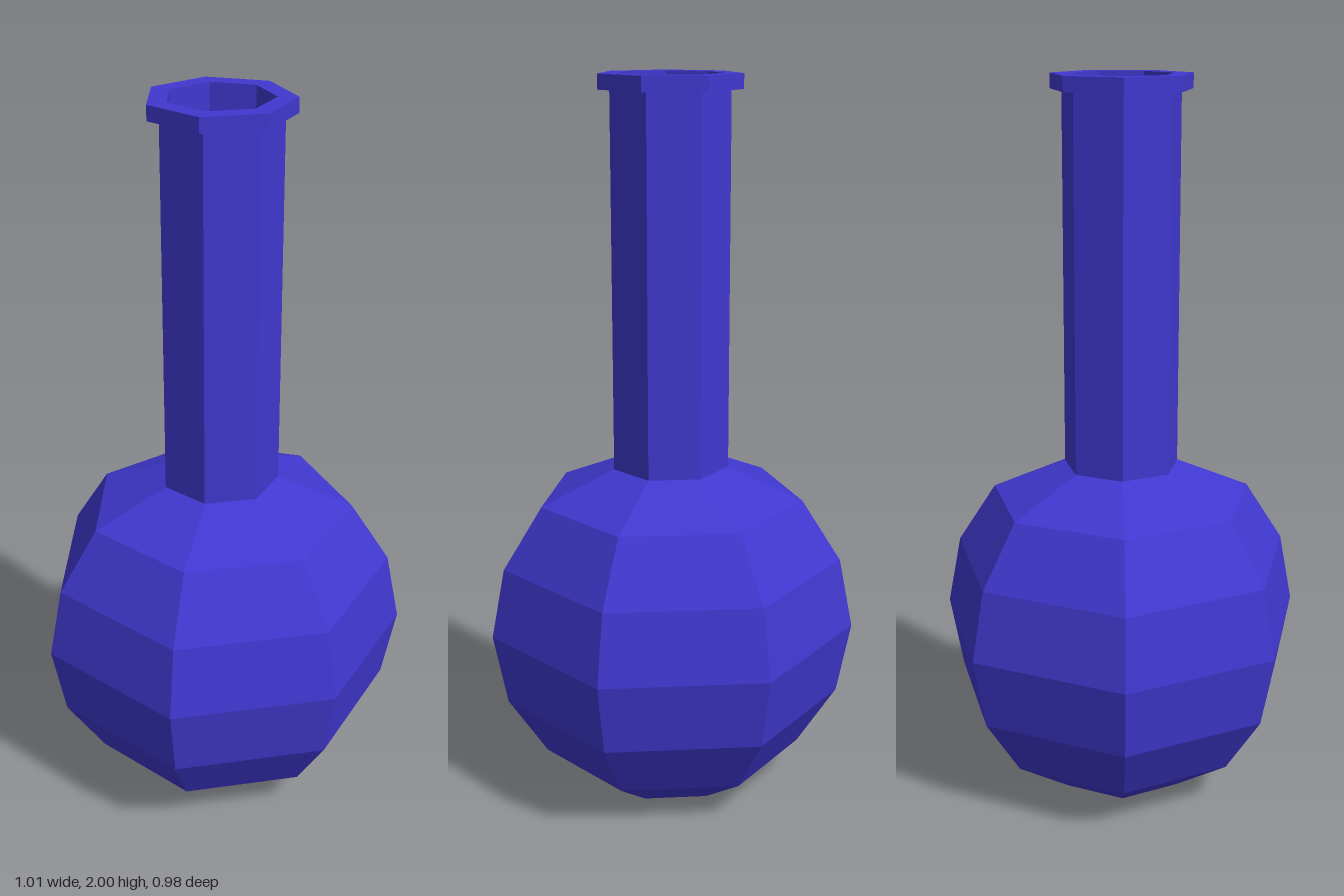
import * as THREE from 'three';

const SIDES = 7;
const AXIS_Z = 0.026; // recentres the odd-sided outline in depth

export function createModel() {
  const flask = new THREE.Group();
  flask.name = 'flask';
  const glass = new THREE.MeshStandardMaterial({ color: 0x4038d0, flatShading: true });

  // Turns a [radius, height] profile into a faceted part with a corner at the back
  function addTurned(name, profile) {
    const points = profile.map(([r, y]) => new THREE.Vector2(r, y));
    const mesh = new THREE.Mesh(new THREE.LatheGeometry(points, SIDES, Math.PI), glass);
    mesh.name = name;
    mesh.position.z = AXIS_Z;
    flask.add(mesh);
  }

  // Round bulb with a flat base
  addTurned('bulb', [
    [0, 0], [0.2, 0], [0.37, 0.115], [0.479, 0.285], [0.517, 0.485],
    [0.479, 0.68], [0.37, 0.85], [0.162, 0.94],
  ]);

  // Straight neck
  addTurned('neck', [[0.162, 0.94], [0.162, 1.96]]);

  // Lip around the opening
  addTurned('rim', [[0.162, 1.96], [0.194, 1.96], [0.194, 2], [0.141, 2]]);

  // Hollow inside, running from the opening down to the floor
  addTurned('innerWall', [
    [0.141, 2], [0.141, 0.9], [0.34, 0.815], [0.44, 0.66], [0.475, 0.485],
    [0.44, 0.305], [0.34, 0.16], [0.116, 0.04], [0, 0.04],
  ]);

  return flask;
}
